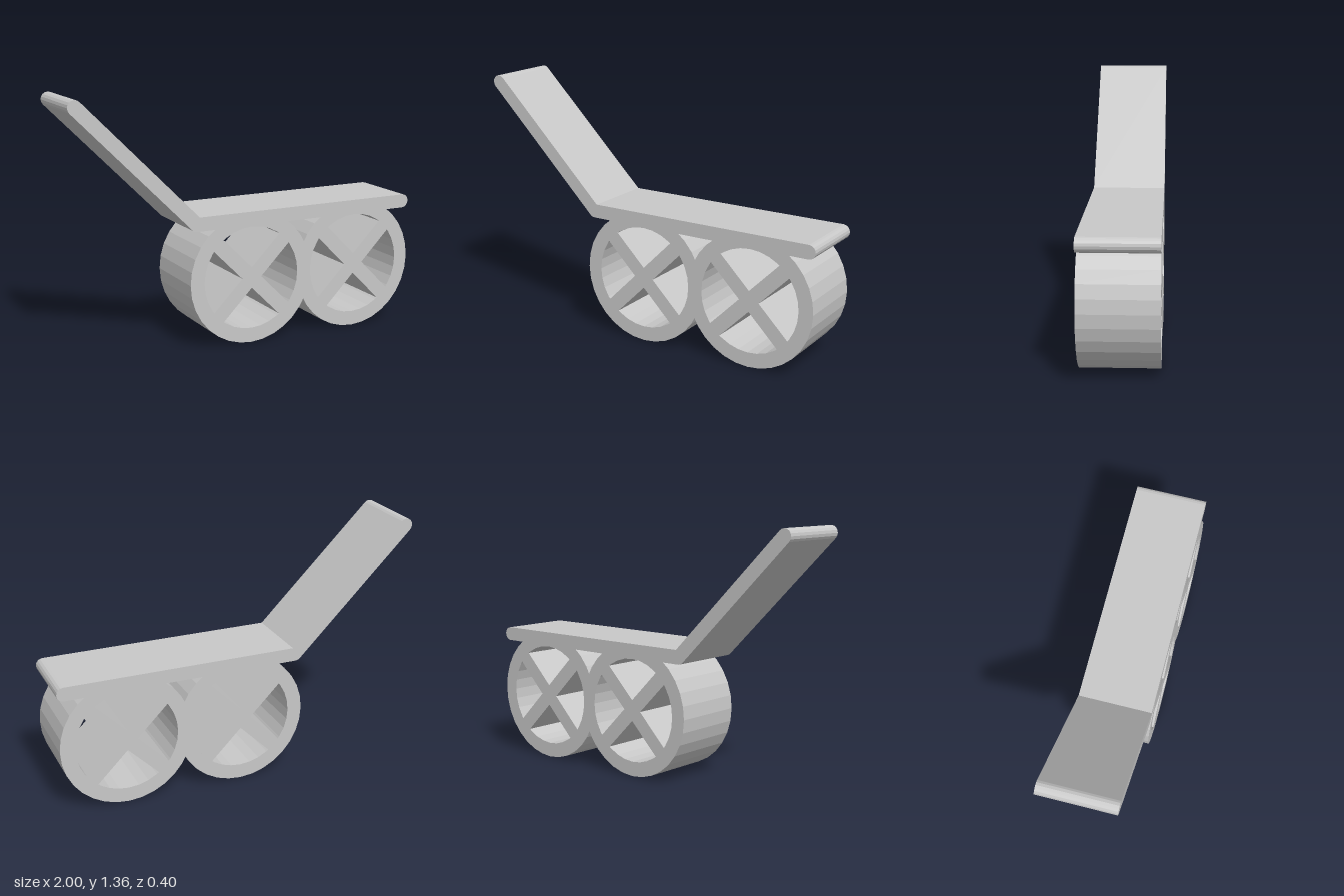
import * as THREE from 'three';

const DEPTH = 0.4;
const WHEEL_R = 0.36, RIM_INNER = 0.28, SPOKE_HALF = 0.04;
const BAR_R = 0.0375;

// Points along an arc, angles in degrees
function arc(cx, cy, r, from, to, steps) {
  const pts = [];
  for (let i = 0; i <= steps; i++) {
    const a = THREE.MathUtils.degToRad(from + ((to - from) * i) / steps);
    pts.push(new THREE.Vector2(cx + r * Math.cos(a), cy + r * Math.sin(a)));
  }
  return pts;
}

// Flat profile extruded through the full depth, centred on z = 0
function slab(shape, material, name) {
  const geometry = new THREE.ExtrudeGeometry(shape, { depth: DEPTH, bevelEnabled: false });
  geometry.translate(0, 0, -DEPTH / 2);
  const mesh = new THREE.Mesh(geometry, material);
  mesh.name = name;
  return mesh;
}

// 32-sided disc with four openings that leave a rim and a diagonal cross
function wheelShape() {
  const shape = new THREE.Shape(arc(0, 0, WHEEL_R, 0, 360, 32).slice(0, -1));
  const edge = 45 - THREE.MathUtils.radToDeg(Math.asin(SPOKE_HALF / RIM_INNER));
  for (let q = 0; q < 4; q++) {
    const mid = q * 90;
    const tip = arc(0, 0, SPOKE_HALF * Math.SQRT2, mid, mid, 1)[0];
    const rim = [
      ...arc(0, 0, RIM_INNER, mid - edge, mid - edge, 1).slice(1),
      ...arc(0, 0, RIM_INNER, mid - 33.75, mid + 33.75, 6),
      ...arc(0, 0, RIM_INNER, mid + edge, mid + edge, 1).slice(1),
    ];
    shape.holes.push(new THREE.Path([tip, ...rim].reverse()));
  }
  return shape;
}

// Bent bar: level deck with a rounded end, rising handle with a rounded tip
function deckShape() {
  const y = 0.6825, elbowX = -0.32;
  const inner = new THREE.Vector2(elbowX + BAR_R * Math.tan(Math.PI / 8), y + BAR_R);
  return new THREE.Shape([
    ...arc(0.9625, y, BAR_R, -90, 90, 8),
    inner,
    ...arc(-0.9625, 1.325, BAR_R, 45, 225, 8),
    ...arc(elbowX, y, BAR_R, 225, 270, 2),
  ]);
}

export function createModel() {
  const group = new THREE.Group();
  group.name = 'cart';
  const grey = new THREE.MeshStandardMaterial({ color: 0xc8c8c8 });
  grey.name = 'light grey';

  group.add(slab(deckShape(), grey, 'deckAndHandle'));

  // Two overlapping wheels under the deck
  [['rearWheel', 0], ['frontWheel', 0.64]].forEach(([name, x]) => {
    const wheel = slab(wheelShape(), grey, name);
    wheel.position.set(x, WHEEL_R, 0);
    group.add(wheel);
  });
  return group;
}
